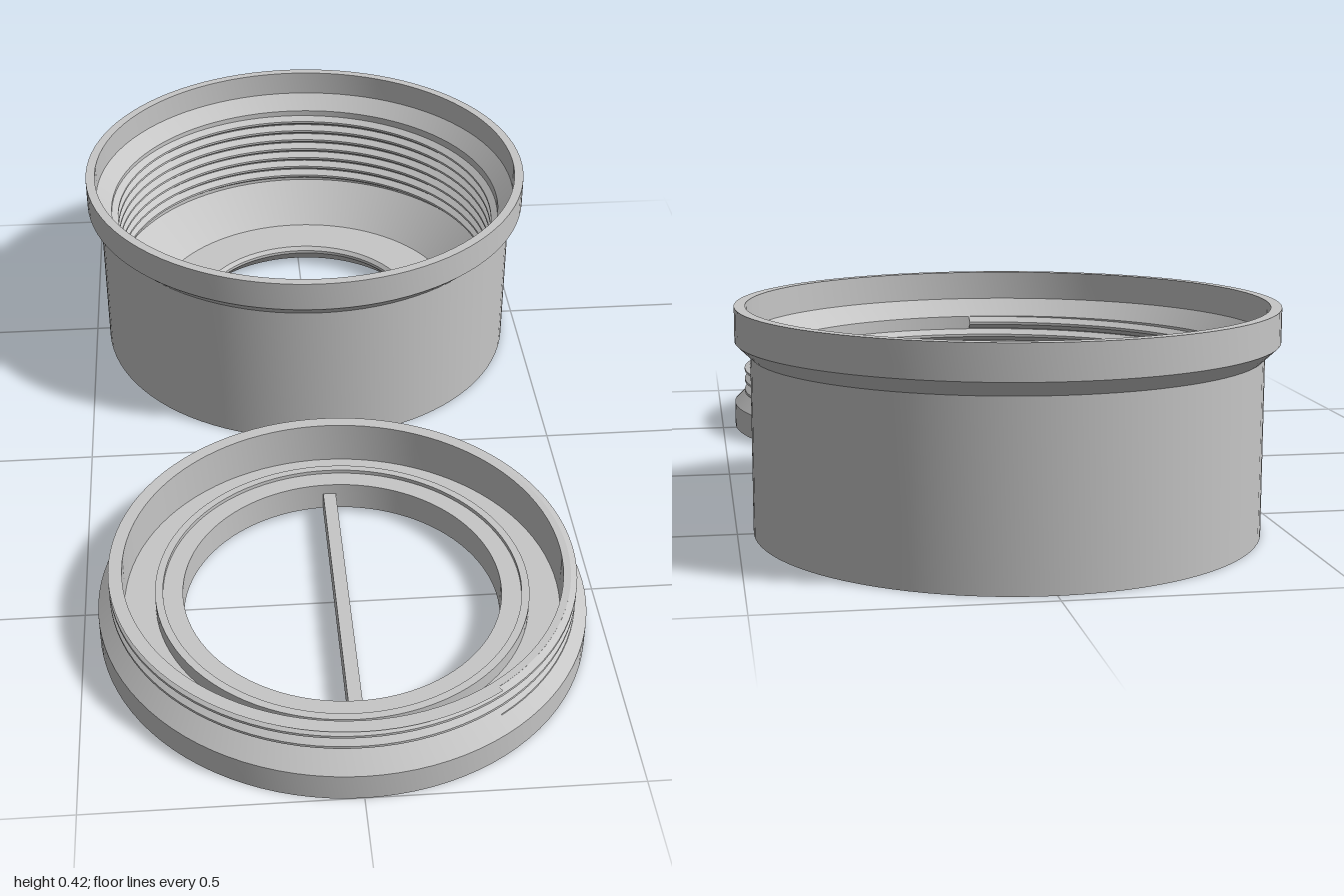
import * as THREE from 'three';
import { toCreasedNormals } from 'three/addons/utils/BufferGeometryUtils.js';

const SEGMENTS = 96;
const grey = new THREE.MeshStandardMaterial({ color: 0xc6c6c6 });
grey.name = 'plain grey';

function addMesh(parent, name, geometry) {
  const mesh = new THREE.Mesh(geometry, grey);
  mesh.name = name;
  parent.add(mesh);
  return mesh;
}

// Turned solid from a closed [radius, height] outline: up the outside, down the inside
function turned(outline) {
  const points = [...outline, outline[0]].map(([r, y]) => new THREE.Vector2(r, y));
  return toCreasedNormals(new THREE.LatheGeometry(points, SEGMENTS), 0.5);
}

// V-shaped screw thread: a zigzag profile raised by one pitch over each full turn,
// cut off level at the given top
function thread({ root, crest, bottom, turns, pitch, top, start = 0, inside = false }) {
  const points = [];
  for (let i = 0; i < turns; i++) {
    const y = bottom + i * pitch;
    points.push(
      new THREE.Vector2(root, y),
      new THREE.Vector2(crest, y + pitch * 0.4),
      new THREE.Vector2(crest, y + pitch * 0.6)
    );
  }
  points.push(new THREE.Vector2(root, bottom + turns * pitch));
  if (inside) points.reverse();
  const geometry = new THREE.LatheGeometry(points, SEGMENTS, start);
  const position = geometry.attributes.position;
  for (let i = 0; i < position.count; i++) {
    const turn = Math.floor(i / points.length) / SEGMENTS;
    position.setY(i, Math.min(top, position.getY(i) + pitch * turn));
  }
  return toCreasedNormals(geometry, 0.4);
}

export function createModel() {
  const model = new THREE.Group();
  model.name = 'threadedCupAndRing';

  // Cup with flared rim, funnel floor, central hole and a groove around the underside
  const cup = new THREE.Group();
  cup.name = 'cup';
  cup.position.z = -0.502;
  model.add(cup);
  addMesh(cup, 'cupBody', turned([
    [0.455, 0], [0.47, 0], [0.47, 0.33], [0.498, 0.357], [0.498, 0.42],
    [0.478, 0.42], [0.478, 0.365], [0.445, 0.332], [0.445, 0.135],
    [0.36, 0.05], [0.255, 0.05], [0.247, 0.042], [0.247, 0.035],
    [0.282, 0], [0.415, 0], [0.415, 0.035], [0.455, 0.035]
  ]));
  addMesh(cup, 'cupInnerThread', thread({
    root: 0.446, crest: 0.431, bottom: 0.128, turns: 7, pitch: 0.0255, top: 0.332, inside: true
  }));

  // Screw ring with outer collar, trough and raised inner lip
  const ring = new THREE.Group();
  ring.name = 'screwRing';
  ring.position.z = 0.53;
  model.add(ring);
  addMesh(ring, 'ringBody', turned([
    [0.333, 0], [0.47, 0], [0.47, 0.055], [0.434, 0.09], [0.434, 0.14],
    [0.42, 0.14], [0.42, 0.05], [0.36, 0.05], [0.36, 0.08],
    [0.345, 0.08], [0.345, 0.072], [0.307, 0.072], [0.307, 0.012], [0.333, 0.012]
  ]));
  addMesh(ring, 'ringOuterThread', thread({
    root: 0.433, crest: 0.446, bottom: 0.066, turns: 3, pitch: 0.0255, top: 0.14, start: 0.6
  }));

  // Grip bar across the opening
  const bar = addMesh(ring, 'gripBar', new THREE.BoxGeometry(0.026, 0.046, 0.63));
  bar.position.y = 0.026;

  return model;
}
